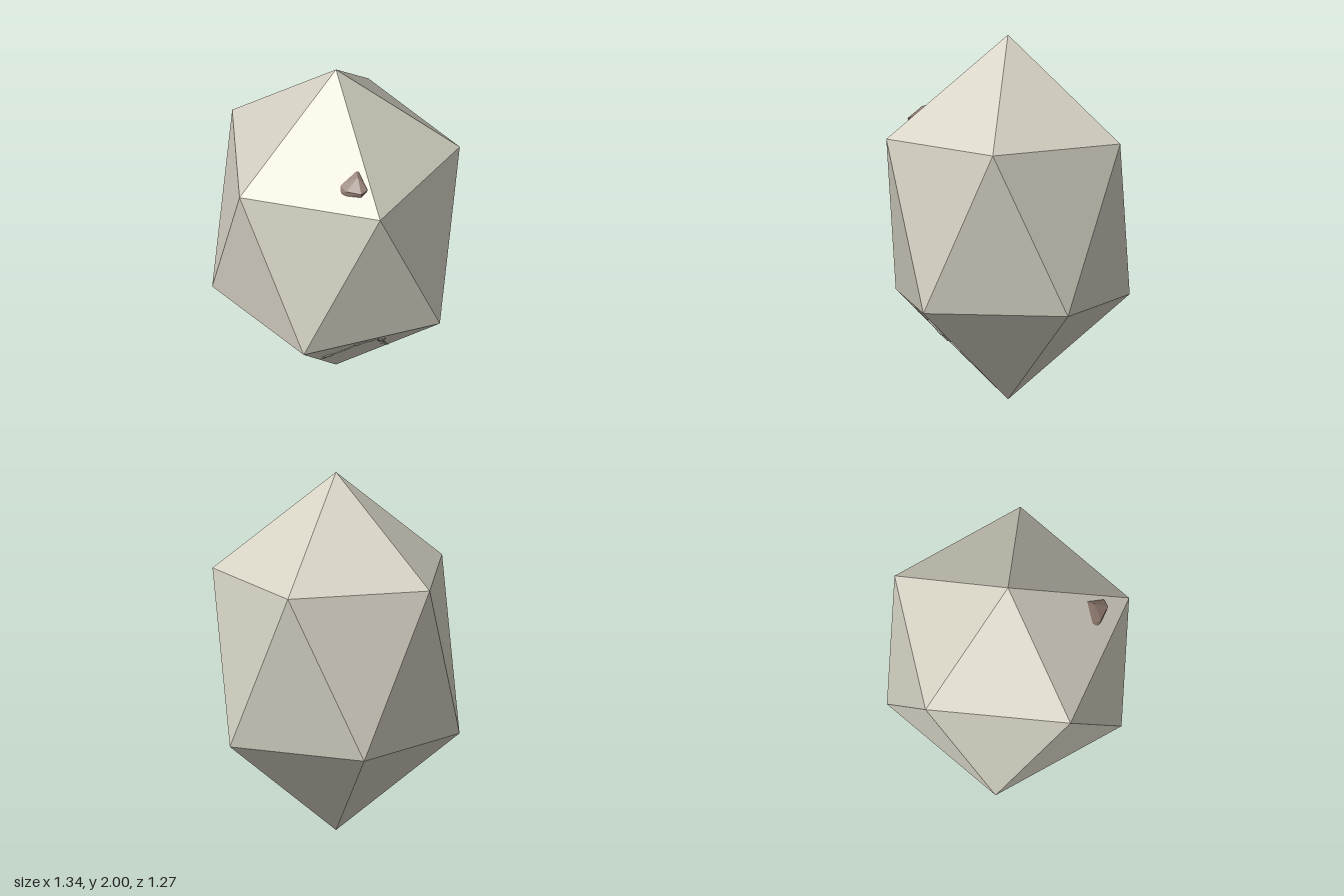
import * as THREE from 'three';
import { ConvexGeometry } from 'three/addons/geometries/ConvexGeometry.js';

const R = 0.67, LOW = 0.555, HIGH = 1.45, TOP = 2;

// five corners of a ring, the first at the given angle (degrees from +x towards +z)
function ring(y, start) {
  return Array.from({ length: 5 }, (_, i) => {
    const a = THREE.MathUtils.degToRad(start + 72 * i);
    return new THREE.Vector3(R * Math.cos(a), y, R * Math.sin(a));
  });
}

// stretched icosahedron: two twisted rings and two tips
function shellGeometry() {
  const up = ring(HIGH, 0), low = ring(LOW, 36);
  const top = new THREE.Vector3(0, TOP, 0), tip = new THREE.Vector3(0, 0, 0);
  const pts = [];
  for (let i = 0; i < 5; i++) {
    const j = (i + 1) % 5;
    pts.push(top, up[j], up[i]);
    pts.push(up[i], up[j], low[i]);
    pts.push(low[i], up[j], low[j]);
    pts.push(tip, low[i], low[j]);
  }
  const geo = new THREE.BufferGeometry().setFromPoints(pts);
  geo.computeVertexNormals();
  return geo;
}

// point on the lower front facet, found from its x and y
function onFacet(x, y) {
  const a = THREE.MathUtils.degToRad(72);
  const d = R * Math.cos(Math.PI / 5) * y / LOW;
  return new THREE.Vector3(x, y, (d - x * Math.cos(a)) / Math.sin(a));
}

export function createModel() {
  const model = new THREE.Group();
  const stone = new THREE.MeshStandardMaterial({ color: 0xd6d2c4, flatShading: true });
  const smoothStone = new THREE.MeshStandardMaterial({ color: 0xd6d2c4 });
  const brown = new THREE.MeshStandardMaterial({ color: 0x8c766c, flatShading: true });

  const shell = new THREE.Mesh(shellGeometry(), stone);
  shell.name = 'shell';
  model.add(shell);

  // small chip lying on the upper front facet
  const chipPoints = [
    [0, 1.56, 0.46], [0.085, 1.625, 0.425], [0.1, 1.625, 0.42], [0.14, 1.565, 0.49],
    [0.11, 1.515, 0.525], [0.02, 1.515, 0.5], [0, 1.53, 0.485],
    [0.03, 1.55, 0.503], [0.11, 1.55, 0.533], [0.145, 1.56, 0.51], [0.095, 1.612, 0.46],
  ].map(p => new THREE.Vector3(...p));
  const chip = new THREE.Mesh(new ConvexGeometry(chipPoints), brown);
  chip.name = 'chip';
  model.add(chip);

  // jagged crack across the lower front facet: low ridges with worn lumps
  const crack = new THREE.Group();
  crack.name = 'crack';
  const a = THREE.MathUtils.degToRad(72);
  const slope = R * Math.cos(Math.PI / 5) / LOW;
  const normal = new THREE.Vector3(Math.cos(a), -slope, Math.sin(a)).normalize();
  const turn = new THREE.Quaternion().setFromUnitVectors(new THREE.Vector3(0, 0, 1), normal);
  const line = [[-0.09, 0.3], [-0.05, 0.36], [0.02, 0.41], [0.08, 0.48], [0.15, 0.52], [0.2, 0.54],
    [0.21, 0.46], [0.24, 0.41], [0.25, 0.35], [0.27, 0.29]].map(p => onFacet(...p));
  for (let i = 1; i < line.length; i++) {
    const path = new THREE.LineCurve3(line[i - 1], line[i]);
    const ridge = new THREE.Mesh(new THREE.TubeGeometry(path, 1, 0.005, 6), smoothStone);
    ridge.name = 'crackRidge';
    crack.add(ridge);
  }
  // x, y, radius of each lump
  const lumps = [[-0.06, 0.35, 0.03], [-0.08, 0.31, 0.016], [0.02, 0.42, 0.015], [0.09, 0.49, 0.024],
    [0.16, 0.525, 0.025], [0.23, 0.48, 0.022], [0.24, 0.36, 0.016], [0.265, 0.3, 0.014]];
  for (const [x, y, r] of lumps) {
    const lump = new THREE.Mesh(new THREE.SphereGeometry(r, 12, 8), smoothStone);
    lump.name = 'crackLump';
    lump.position.copy(onFacet(x, y));
    lump.quaternion.copy(turn);
    lump.scale.z = 0.25;
    crack.add(lump);
  }
  model.add(crack);
  return model;
}
